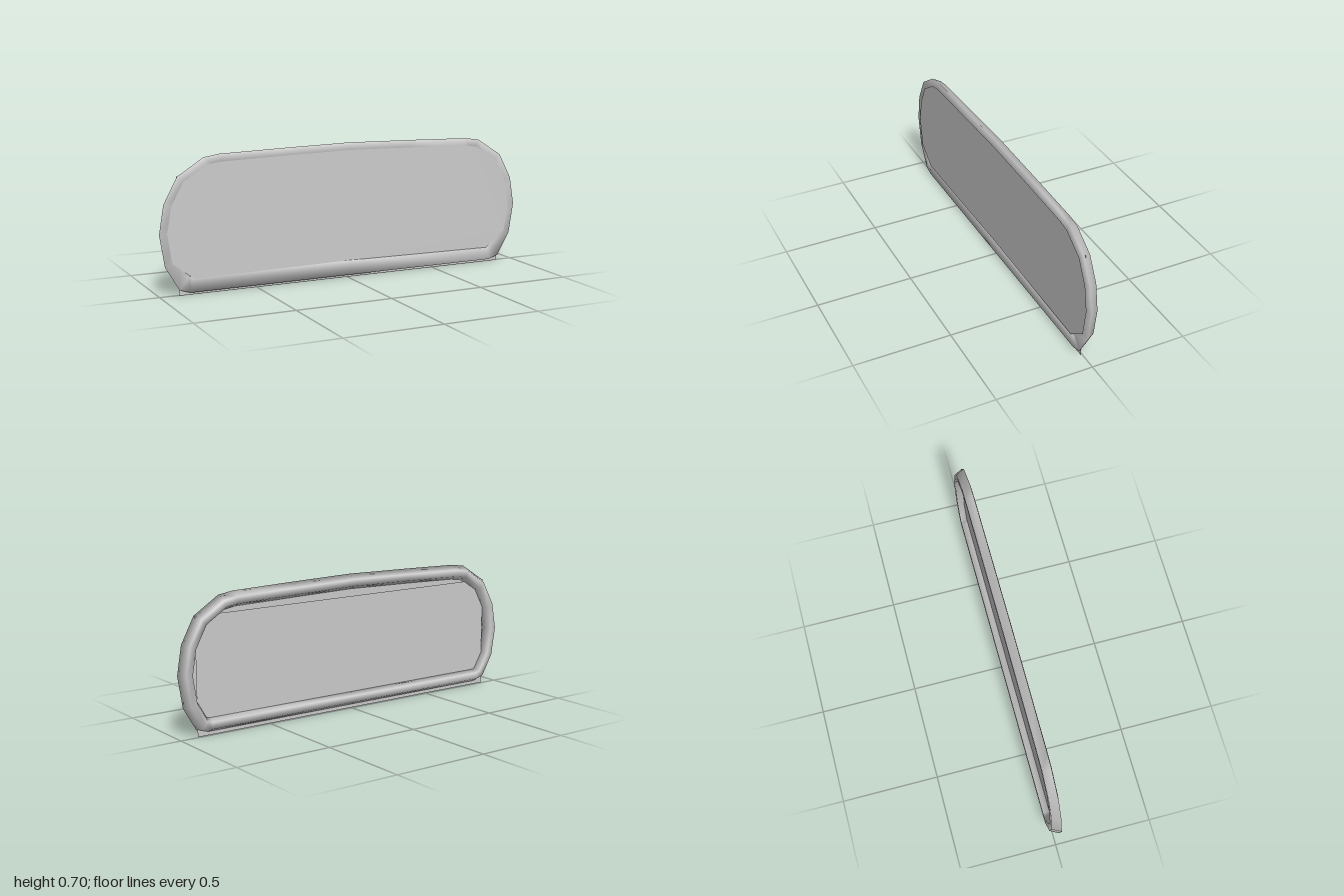
import * as THREE from 'three';

// Right half of the outer outline, from top centre down to bottom centre
const half = [
  [0, 0.699], [0.35, 0.692], [0.69, 0.683], [0.77, 0.671], [0.905, 0.585], [0.975, 0.455],
  [1, 0.31], [0.975, 0.15], [0.905, 0.03], [0.85, 0.012], [0, 0.012],
];

// Mirror a half outline into a closed clockwise loop
function mirrorLoop(points) {
  const left = points.slice(1, -1).reverse().map(([x, y]) => [-x, y]);
  return [...points, ...left].map(([x, y]) => new THREE.Vector2(x, y));
}

// Move a clockwise loop inwards with mitred corners
function insetLoop(loop, distance) {
  const n = loop.length;
  const inward = (a, b) => {
    const d = b.clone().sub(a).normalize();
    return new THREE.Vector2(d.y, -d.x);
  };
  return loop.map((p, i) => {
    const n1 = inward(loop[(i + n - 1) % n], p);
    const n2 = inward(p, loop[(i + 1) % n]);
    const scale = distance / (1 + n1.dot(n2));
    return p.clone().addScaledVector(n1.add(n2), scale);
  });
}

// Sweep a small closed section [inset, z] around the loop, with smooth normals
function frameGeometry(loop, section) {
  const n = loop.length, m = section.length;
  const positions = [], indices = [];
  for (const [inset, z] of section) {
    for (const p of insetLoop(loop, inset)) positions.push(p.x, p.y, z);
  }
  for (let j = 0; j < m; j++) {
    for (let i = 0; i < n; i++) {
      const i2 = (i + 1) % n, j2 = (j + 1) % m;
      const a = j * n + i, b = j * n + i2, c = j2 * n + i2, d = j2 * n + i;
      indices.push(a, b, d, b, c, d);
    }
  }
  const geometry = new THREE.BufferGeometry();
  geometry.setAttribute('position', new THREE.Float32BufferAttribute(positions, 3));
  geometry.setIndex(indices);
  geometry.computeVertexNormals();
  return geometry;
}

export function createModel() {
  const group = new THREE.Group();
  group.name = 'framedPanel';
  const material = new THREE.MeshStandardMaterial({ color: 0xcccccc });
  const sheet = new THREE.MeshStandardMaterial({ color: 0xcccccc, side: THREE.DoubleSide });
  const add = (name, geometry, mat, z = 0) => {
    const mesh = new THREE.Mesh(geometry, mat);
    mesh.name = name;
    mesh.position.z = z;
    group.add(mesh);
    return mesh;
  };

  // Rounded frame, widest at the front
  const loop = mirrorLoop(half);
  add('frame', frameGeometry(loop, [[0, 0.019], [0.024, -0.025], [0.058, -0.025], [0.078, 0.019]]), material);

  // Front sheet, following the frame with a slightly arched lower edge
  const inner = insetLoop(loop, 0.038).slice(0, half.length - 3).map((p) => [p.x, p.y]);
  const front = mirrorLoop([...inner, [0.83, 0.08], [0, 0.09]]);
  add('frontSheet', new THREE.ShapeGeometry(new THREE.Shape(front)), sheet, 0.0245);

  // Rectangular backing sheet, its lower corners reaching past the frame
  const backing = add('backingSheet', new THREE.PlaneGeometry(1.81, 0.585), sheet, 0.008);
  backing.position.y = 0.2925;

  return group;
}
